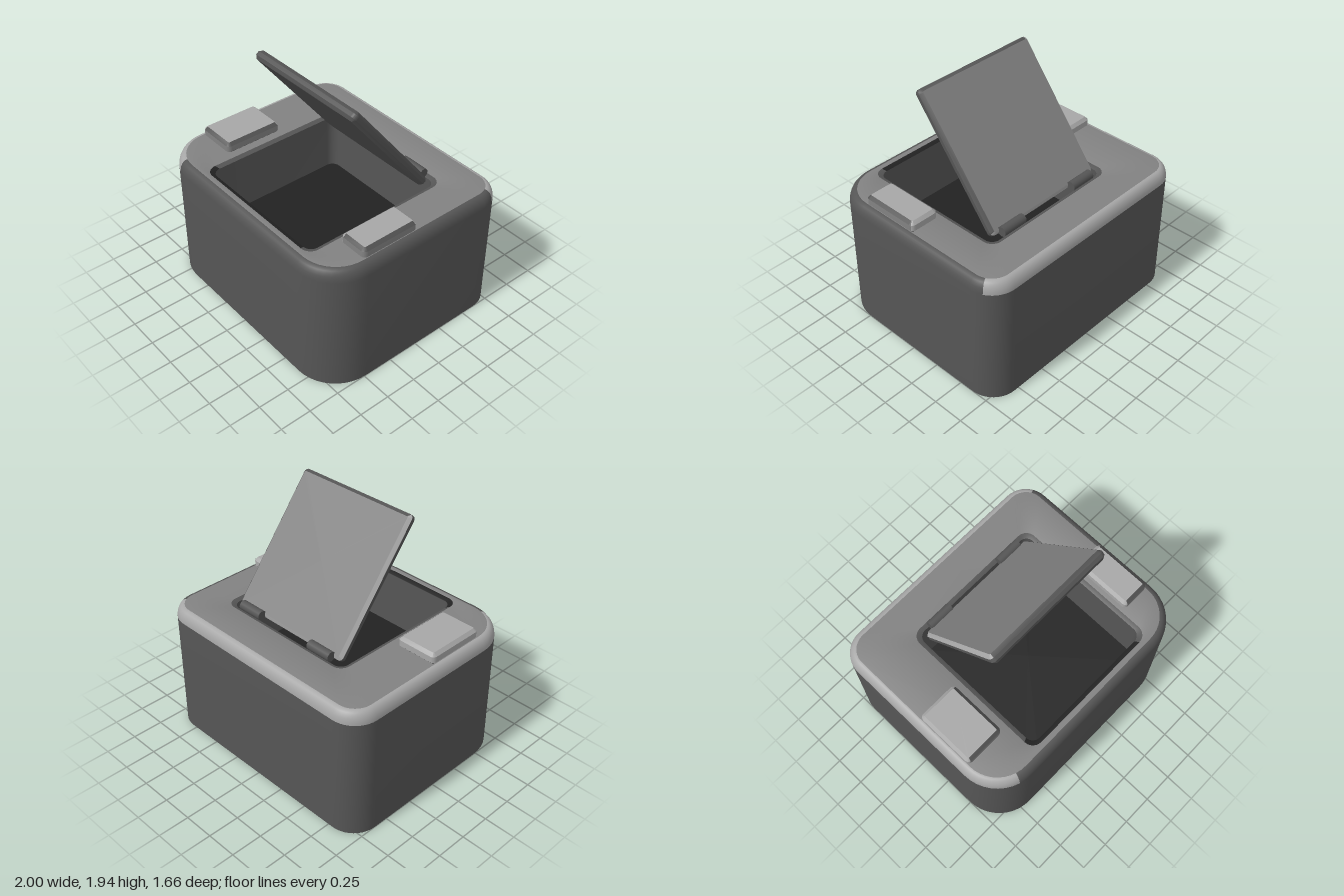
import * as THREE from 'three';
import { toCreasedNormals } from 'three/addons/utils/BufferGeometryUtils.js';

// Palette: indices into the material list
const [SIDE, TOP, LIGHT, DARK] = [0, 1, 2, 3];
const material = (name, color) => Object.assign(new THREE.MeshStandardMaterial({ color }), { name });

// Rounded rectangle as [x, z] points, counter-clockwise from above:
// back right, back left, front left and front right corner, 11 points each
function outline(x0, x1, z0, z1, rBack, rFront) {
  const corners = [
    [x1 - rBack, z0 + rBack, rBack], [x0 + rBack, z0 + rBack, rBack],
    [x0 + rFront, z1 - rFront, rFront], [x1 - rFront, z1 - rFront, rFront],
  ];
  const steps = 10;
  return corners.flatMap(([cx, cz, r], c) => Array.from({ length: steps + 1 }, (_, i) => {
    const a = (c + i / steps) * Math.PI / 2;
    return [cx + r * Math.cos(a), cz - r * Math.sin(a)];
  }));
}

// Columns of an outline that run along the back and the -x side
const backOrLeft = (j) => j >= 3 && j < 30;
const frontEdge = (j) => j >= 22 && j < 33;

// Shrinks an outline almost to a point, to close a flat end
const shrink = (pts, cx = 0, cz = 0) => pts.map(([x, z]) => [cx + (x - cx) * 0.001, cz + (z - cz) * 0.001]);

// Skin over a list of rings; each band's paint(column) picks its material
function loft(rings) {
  const n = rings[0].pts.length;
  const position = rings.flatMap(({ y, pts }) => pts.flatMap(([x, z]) => [x, y, z]));
  const index = [];
  const g = new THREE.BufferGeometry();
  for (let i = 0; i < rings.length - 1; i++) {
    for (let j = 0; j < n; j++) {
      const a = i * n + j, b = i * n + (j + 1) % n;
      const m = rings[i].paint(j), last = g.groups[g.groups.length - 1];
      if (last && last.materialIndex === m) last.count += 6;
      else g.addGroup(index.length, 6, m);
      index.push(a, b, b + n, a, b + n, a + n);
    }
  }
  g.setAttribute('position', new THREE.Float32BufferAttribute(position, 3));
  g.setIndex(index);
  return toCreasedNormals(g, 0.6);
}

// Flat slab, centred, with chamfered edges
function slab(w, h, d, bevel, paint) {
  const r = bevel + 0.01;
  const pts = (s) => outline(-w / 2 + s, w / 2 - s, -d / 2 + s, d / 2 - s, r - s, r - s);
  return loft([
    { y: -h / 2, pts: shrink(pts(0)), paint: paint.under },
    { y: -h / 2, pts: pts(bevel), paint: paint.lowerBevel },
    { y: -h / 2 + bevel, pts: pts(0), paint: paint.sides },
    { y: h / 2 - bevel, pts: pts(0), paint: paint.upperBevel },
    { y: h / 2, pts: pts(bevel), paint: paint.top },
    { y: h / 2, pts: shrink(pts(0)) },
  ]);
}

export function createModel() {
  const root = new THREE.Group();
  root.name = 'lidded box';
  const materials = [
    material('side grey', 0x555555),
    material('top grey', 0x828282),
    material('light grey', 0xa7a7a7),
    material('charcoal', 0x222222),
  ];

  const add = (name, geometry, mat, x = 0, y = 0, z = 0) => {
    const mesh = new THREE.Mesh(geometry, mat);
    mesh.name = name;
    mesh.position.set(x, y, z);
    root.add(mesh);
    return mesh;
  };

  const side = () => SIDE, upper = () => TOP, light = () => LIGHT, dark = () => DARK;
  const edge = (j) => (backOrLeft(j) ? LIGHT : SIDE);

  // Body: two-tone base, side wall, rounded top edge, top, rim of the opening, cavity
  const top = 1.065, floorY = 0.6, bevelH = 0.095, bevelW = 0.06, bevelSteps = 6;
  const outer = (s) => outline(-1 + s, 1 - s, -0.83 + s, 0.83 - s, 0.21 - s, 0.34 - s);
  const hole = (s) => outline(-0.545 + s, 0.67 - s, -0.505 + s, 0.73 - s, 0.085 - s / 2, 0.085 - s / 2);

  const rings = [
    { y: 0, pts: shrink(outer(0)), paint: (j) => (backOrLeft(j) ? SIDE : DARK) },
    { y: 0, pts: outer(0), paint: side },
  ];
  for (let i = 0; i <= bevelSteps; i++) {
    const a = (i / bevelSteps) * Math.PI / 2;
    rings.push({
      y: top - bevelH * (1 - Math.sin(a)),
      pts: outer(bevelW * (1 - Math.cos(a))),
      paint: i < bevelSteps ? edge : upper,
    });
  }
  rings.push(
    { y: top, pts: hole(0), paint: (j) => (frontEdge(j) ? DARK : SIDE) },
    { y: top - 0.015, pts: hole(0.033), paint: side },
    { y: floorY, pts: hole(0.034), paint: dark },
    { y: floorY, pts: shrink(hole(0.034), 0.06, 0.11) },
  );
  add('body', loft(rings), materials);

  // Raised pads beside the opening
  const padPaint = {
    under: side, lowerBevel: side, sides: (j) => (backOrLeft(j) ? LIGHT : TOP), upperBevel: edge, top: light,
  };
  add('rightPad', slab(0.335, 0.095, 0.485, 0.024, padPaint), materials, -0.773, 1.097, 0.238);
  add('leftPad', slab(0.24, 0.095, 0.485, 0.024, padPaint), materials, 0.822, 1.097, 0.238);

  // Open lid, tilted up from the rear edge
  const lidPaint = { under: side, lowerBevel: side, sides: side, upperBevel: edge, top: upper };
  const lid = add('lid', slab(1.07, 0.078, 1.12, 0.024, lidPaint), materials, 0.062, 1.495, -0.07);
  lid.rotation.x = -Math.atan2(0.785, 0.62);

  // Hinge barrels
  for (const x of [-0.297, 0.425]) {
    const barrel = new THREE.CylinderGeometry(0.038, 0.038, 0.212, 16).rotateZ(Math.PI / 2);
    add('hinge', barrel, materials[SIDE], x, 1.09, -0.457);
  }
  return root;
}
